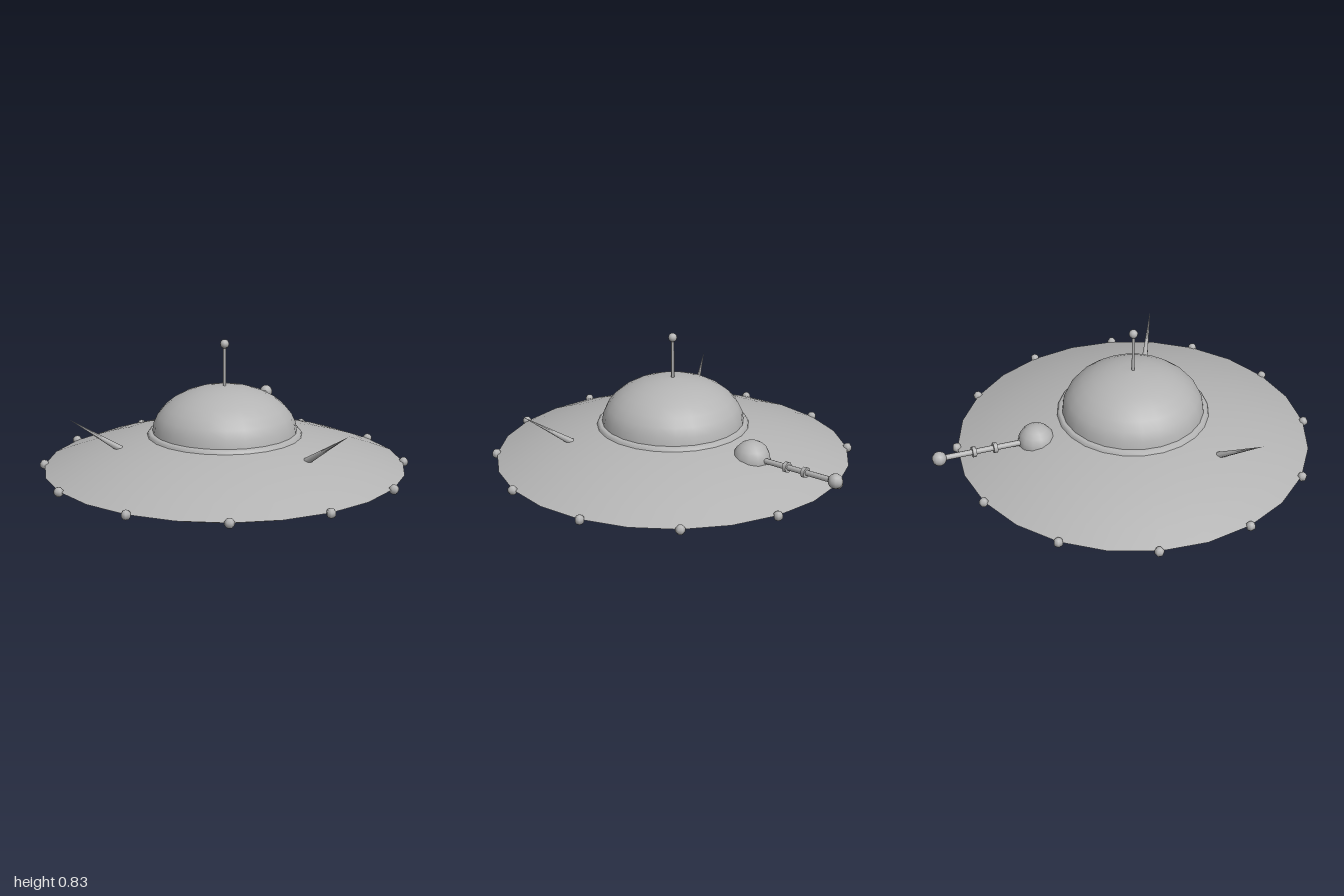
import * as THREE from 'three';

export function createModel() {
  const model = new THREE.Group();
  const grey = new THREE.MeshStandardMaterial({ color: 0xb4b4b4 });
  grey.name = 'hull grey';

  const add = (name, geometry, parent, x = 0, y = 0, z = 0) => {
    const mesh = new THREE.Mesh(geometry, grey);
    mesh.name = name;
    mesh.position.set(x, y, z);
    parent.add(mesh);
    return mesh;
  };
  const lathe = (points) =>
    new THREE.LatheGeometry(points.map(([r, y]) => new THREE.Vector2(r, y)), 24);
  // Tapered rod whose ends sit at two given points
  const rod = (name, from, to, r0, r1, sides, parent) => {
    const a = new THREE.Vector3(...from);
    const dir = new THREE.Vector3(...to).sub(a);
    const mesh = add(name, new THREE.CylinderGeometry(r1, r0, dir.length(), sides), parent);
    mesh.position.copy(a).addScaledVector(dir, 0.5);
    mesh.quaternion.setFromUnitVectors(new THREE.Vector3(0, 1, 0), dir.normalize());
    return mesh;
  };

  // Saucer: two shallow curved caps meeting at a sharp rim
  const saucer = new THREE.Group();
  saucer.name = 'saucer';
  saucer.position.z = 0.075;
  model.add(saucer);
  const R = 0.922, rimY = 0.18, steps = 8;
  const under = [], upper = [];
  for (let i = 0; i <= steps; i++) {
    const t = i / steps, u = 1 - t;
    under.push([R * t, rimY * t * t]);
    upper.push([R * u, rimY + 0.195 * (1 - u * u)]);
  }
  add('lowerHull', lathe(under), saucer);
  add('upperHull', lathe(upper), saucer);

  // Dome on its collar
  add('domeCollar', lathe([[0.4, 0.325], [0.393, 0.348], [0.382, 0.357], [0.36, 0.357]]), saucer);
  const dome = [];
  for (let i = 0; i <= 8; i++) {
    const a = (i / 8) * Math.PI / 2;
    dome.push([0.37 * Math.cos(a), 0.35 + 0.24 * Math.sin(a)]);
  }
  add('dome', lathe(dome), saucer);

  // Antenna on top of the dome
  rod('antennaRod', [0, 0.57, 0], [0, 0.8, 0], 0.008, 0.008, 8, saucer);
  add('antennaBall', new THREE.SphereGeometry(0.023, 10, 8), saucer, 0, 0.804, 0);

  // Twelve small lamps around the rim
  const lamp = new THREE.SphereGeometry(0.025, 6, 5);
  for (let i = 0; i < 12; i++) {
    const a = (i + 0.5) * Math.PI / 6;
    const mesh = add('rimLamp', lamp, saucer, 0.925 * Math.sin(a), rimY, 0.925 * Math.cos(a));
    mesh.rotation.y = a;
  }

  // Pair of front spikes
  for (const s of [1, -1]) {
    rod(s > 0 ? 'leftSpike' : 'rightSpike',
      [s * 0.47, 0.298, 0.343], [s * 0.688, 0.468, 0.47], 0.018, 0, 6, model);
  }

  // Rear cannon: turret ball, barrel, two bands and a muzzle ball
  const cannon = new THREE.Group();
  cannon.name = 'cannon';
  model.add(cannon);
  add('turretBall', new THREE.SphereGeometry(0.095, 12, 10), cannon, 0, 0.29, -0.458);
  const along = (z) => [0, 0.298 - (z + 0.458) * 0.047, z];
  rod('barrel', along(-0.47), along(-0.96), 0.0145, 0.0145, 8, cannon);
  for (const z of [-0.678, -0.788]) {
    rod('barrelBand', along(z + 0.01), along(z - 0.01), 0.027, 0.027, 8, cannon);
  }
  add('muzzleBall', new THREE.SphereGeometry(0.037, 10, 8), cannon, ...along(-0.965));

  return model;
}
